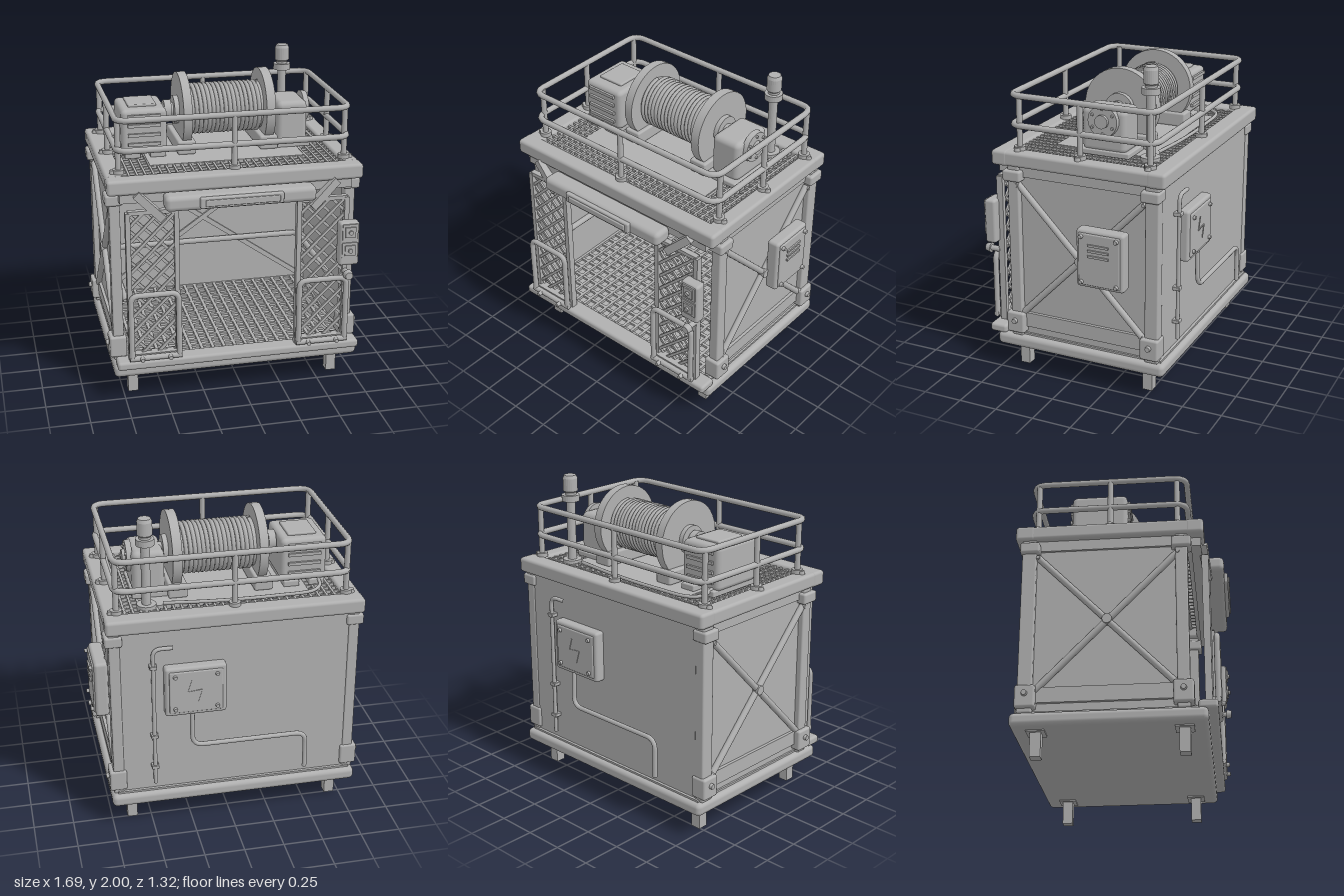
import * as THREE from 'three';
import { RoundedBoxGeometry } from 'three/addons/geometries/RoundedBoxGeometry.js';

const V = (x, y, z) => new THREE.Vector3(x, y, z);

export function createModel() {
  const root = new THREE.Group();
  root.name = 'winchCabin';
  const grey = new THREE.MeshStandardMaterial({ color: 0xb0b0b0 });
  grey.name = 'plain grey';
  const CX = -0.033, CZ = -0.05;

  const add = (name, geo) => {
    const m = new THREE.Mesh(geo, grey);
    m.name = name;
    root.add(m);
    return m;
  };
  // box given by its limits, rounded when r > 0
  const box = (name, x0, x1, y0, y1, z0, z1, r = 0) => {
    const s = [x1 - x0, y1 - y0, z1 - z0];
    const geo = r ? new RoundedBoxGeometry(...s, 2, Math.min(r, Math.min(...s) * 0.49)) : new THREE.BoxGeometry(...s);
    const m = add(name, geo);
    m.position.set((x0 + x1) / 2, (y0 + y1) / 2, (z0 + z1) / 2);
    return m;
  };
  // round rod or square bar between two points
  const rod = (name, a, b, r, r2 = r, seg = 16) => {
    const m = add(name, new THREE.CylinderGeometry(r2, r, a.distanceTo(b), seg));
    m.position.copy(a).lerp(b, 0.5);
    m.quaternion.setFromUnitVectors(V(0, 1, 0), b.clone().sub(a).normalize());
    return m;
  };
  const bar = (name, a, b, depth, width) => {
    const m = add(name, new THREE.BoxGeometry(depth, width, a.distanceTo(b)));
    m.position.copy(a).lerp(b, 0.5);
    m.lookAt(b);
    return m;
  };
  // tube through points with rounded bends
  const pipe = (name, pts, r, bend = 0.05, closed = false) => {
    const path = new THREE.CurvePath(), n = pts.length;
    const toward = (p, q) => p.clone().add(q.clone().sub(p).setLength(bend));
    let last = closed ? toward(pts[0], pts[1]) : pts[0];
    for (let i = 1; i < (closed ? n + 1 : n - 1); i++) {
      const p = pts[i % n], a = toward(p, pts[i - 1]), b = toward(p, pts[(i + 1) % n]);
      path.add(new THREE.LineCurve3(last, a));
      path.add(new THREE.QuadraticBezierCurve3(a, p, b));
      last = b;
    }
    if (!closed) path.add(new THREE.LineCurve3(last, pts[n - 1]));
    return add(name, new THREE.TubeGeometry(path, 160, r, 10, closed));
  };
  const bolt = (p, dir, r = 0.014, h = 0.016) => rod('bolt', p, p.clone().addScaledVector(dir, h), r, r * 0.8, 10);
  const X = V(1, 0, 0), Y = V(0, 1, 0), Z = V(0, 0, 1), BACK = V(0, 0, -1);

  // feet and base
  for (const x of [-0.687, 0.62]) for (const z of [0.38, -0.475]) {
    box('foot', x - 0.032, x + 0.032, 0, 0.17, z - 0.032, z + 0.032);
    box('footPlate', x - 0.055, x + 0.055, 0.147, 0.157, z - 0.055, z + 0.055);
  }
  box('baseSlab', -0.815, 0.755, 0.155, 0.238, -0.62, 0.52, 0.03);
  box('floorDeck', -0.78, 0.715, 0.23, 0.25, -0.59, 0.48);
  box('doorSill', -0.8, 0.748, 0.23, 0.285, 0.46, 0.575, 0.018);

  // gratings: crossed bars over a rectangle
  const grating = (name, x0, x1, z0, z1, y, step, w, h) => {
    const nx = Math.round((x1 - x0) / step), nz = Math.round((z1 - z0) / step);
    for (let i = 0; i <= nx; i++) {
      const x = x0 + (x1 - x0) * i / nx;
      box(name, x - w / 2, x + w / 2, y, y + h, z0, z1);
    }
    for (let i = 0; i <= nz; i++) {
      const z = z0 + (z1 - z0) * i / nz;
      box(name, x0, x1, y, y + h - 0.003, z - w / 2, z + w / 2);
    }
  };
  grating('floorGrating', -0.74, 0.68, -0.55, 0.45, 0.25, 0.072, 0.02, 0.018);
  grating('roofGrating', -0.72, 0.67, -0.51, 0.42, 1.415, 0.05, 0.014, 0.02);
  box('winchPlate', -0.52, 0.46, 1.428, 1.438, -0.42, 0.228);

  // roof frame with an open middle
  box('roofFrameFront', -0.825, 0.757, 1.355, 1.45, 0.41, 0.52, 0.02);
  box('roofFrameBack', -0.825, 0.757, 1.355, 1.45, -0.62, -0.5, 0.02);
  box('roofFrameSide', -0.823, -0.71, 1.357, 1.448, -0.6, 0.5, 0.02);
  box('roofFrameSide', 0.65, 0.755, 1.357, 1.448, -0.6, 0.5, 0.02);

  // walls, back bracing and inner handrail
  box('backWall', -0.77, 0.71, 0.235, 1.36, -0.572, -0.555);
  bar('backBrace', V(-0.71, 1.25, -0.548), V(0.64, 0.3, -0.548), 0.015, 0.032);
  bar('backBrace', V(0.64, 1.25, -0.543), V(-0.71, 0.3, -0.543), 0.015, 0.032);
  pipe('handrail', [V(-0.71, 0.61, 0.38), V(-0.71, 0.61, -0.52), V(0.645, 0.61, -0.52), V(0.645, 0.61, 0.38)], 0.02);

  // both sides: wall, posts, corner brackets, cross brace
  for (const s of [-1, 1]) {
    const at = d => CX + s * d, dir = V(s, 0, 0);
    const sx = (name, d0, d1, y0, y1, z0, z1, r) =>
      box(name, Math.min(at(d0), at(d1)), Math.max(at(d0), at(d1)), y0, y1, z0, z1, r);
    sx('sideWall', 0.715, 0.735, 0.235, 1.36, -0.568, 0.41);
    sx('sideRail', 0.73, 0.755, 0.3, 0.395, -0.5, 0.35);
    sx('sideRail', 0.73, 0.75, 1.29, 1.36, -0.5, 0.35);
    for (const [z0, z1] of [[0.345, 0.42], [-0.578, -0.49]]) {
      const zc = z0 > 0 ? 0.3825 : -0.5285;
      sx('cornerPost', 0.705, 0.772, 0.235, 1.36, z0, z1, 0.01);
      sx('lowerBracket', 0.69, 0.797, 0.262, 0.4, zc - 0.06, zc + 0.06, 0.014);
      sx('upperBracket', 0.69, 0.797, 1.265, 1.335, zc - 0.06, zc + 0.06, 0.014);
      bolt(V(at(0.79), 0.345, zc), dir, 0.02, 0.025);
    }
    rod('sideBrace', V(at(0.75), 0.37, 0.365), V(at(0.75), 1.25, -0.485), 0.02);
    rod('sideBrace', V(at(0.75), 1.25, 0.365), V(at(0.75), 0.37, -0.485), 0.02);
    rod('braceBoss', V(at(0.735), 0.81, -0.06), V(at(0.777), 0.81, -0.06), 0.03);
    for (const z of [0.36, -0.48]) for (const y of [0.39, 1.24]) bolt(V(at(0.765), y, z), dir, 0.014, 0.012);
  }

  // sliding mesh door panels with half gates
  for (const [x0, x1, s] of [[-0.71, -0.415, -1], [0.348, 0.65, 1]]) {
    const y0 = 0.31, y1 = 1.25, z = 0.52, inner = s < 0 ? x1 : x0, outer = s < 0 ? x0 : x1;
    box('doorInnerStile', inner - 0.015, inner + 0.015, 0.28, y1, z - 0.02, z + 0.022);
    box('doorOuterStile', outer - 0.015, outer + 0.015, 0.28, y1, z - 0.02, z + 0.022);
    box('doorBottomRail', x0, x1, 0.29, 0.33, z - 0.018, z + 0.04);
    box('doorTopRail', x0, x1, 1.235, 1.26, z - 0.018, z + 0.018);
    // wires at forty-five degrees, clipped to the panel
    for (const d of [-1, 1]) for (let c = y0 - 0.26; c < y1; c += 0.1) {
      const lo = Math.max(0, y0 - c), hi = Math.min(x1 - x0, y1 - c);
      if (hi - lo < 0.02) continue;
      const px = t => d > 0 ? x0 + t : x1 - t;
      bar('meshWire', V(px(lo), c + lo, z + d * 0.005), V(px(hi), c + hi, z + d * 0.005), 0.014, 0.018);
    }
    bar('doorStrut', V(CX + s * 0.62, 1.36, 0.51), V(CX + s * 0.46, 1.2, 0.53), 0.05, 0.05);
    pipe('halfGate', [V(x0, 0.3, 0.575), V(x0, 0.73, 0.575), V(x1, 0.73, 0.575), V(x1, 0.3, 0.575)], 0.018);
    rod('gateFoot', V(x0 - 0.015, 0.31, 0.575), V(x1 + 0.015, 0.31, 0.575), 0.018);
    for (const x of [x0 + 0.06, x1 - 0.06]) bolt(V(x, 0.31, 0.585), Z, 0.016, 0.03);
  }
  box('doorTrack', -0.75, 0.69, 1.3, 1.36, 0.44, 0.5);

  // header lamp
  box('headerLamp', -0.495, 0.43, 1.27, 1.365, 0.505, 0.63, 0.03);
  box('lampBezel', -0.29, 0.22, 1.285, 1.355, 0.62, 0.65, 0.01);
  box('lampLens', -0.26, 0.195, 1.3, 1.34, 0.645, 0.66, 0.006);

  // front control box
  box('controlBox', 0.59, 0.718, 0.82, 1.105, 0.53, 0.605, 0.018);
  for (const y of [0.925, 1.045]) {
    box('controlBezel', 0.606, 0.704, y - 0.05, y + 0.05, 0.6, 0.612);
    box('controlScreen', 0.622, 0.688, y - 0.033, y + 0.033, 0.61, 0.62);
    rod('controlKnob', V(0.655, y, 0.615), V(0.655, y, 0.632), 0.014);
  }
  rod('stopButtonStem', V(0.65, 0.76, 0.535), V(0.65, 0.76, 0.61), 0.018);
  rod('stopButton', V(0.65, 0.76, 0.6), V(0.65, 0.76, 0.635), 0.032, 0.024);

  // side service box with louvres
  box('serviceBox', 0.725, 0.81, 0.69, 1.06, -0.388, -0.075, 0.02);
  box('serviceBoxDoor', 0.8, 0.82, 0.71, 1.04, -0.365, -0.095, 0.008);
  for (const y of [0.9, 0.935, 0.97]) box('louvre', 0.815, 0.83, y - 0.007, y + 0.007, -0.295, -0.16);
  for (const y of [0.73, 1.02]) for (const z of [-0.345, -0.115]) bolt(V(0.818, y, z), X, 0.015, 0.02);

  // rear electrical box, conduit and drain pipe
  box('rearBox', 0.035, 0.415, 0.785, 1.115, -0.635, -0.56, 0.018);
  box('rearBoxDoor', 0.06, 0.39, 0.81, 1.09, -0.643, -0.625, 0.008);
  for (const x of [0.095, 0.355]) for (const y of [0.84, 1.06]) bolt(V(x, y, -0.64), BACK, 0.014, 0.018);
  const zig = [[0.25, 1.03], [0.275, 0.95], [0.185, 0.96], [0.21, 0.88]];
  for (let i = 0; i < 3; i++) bar('hazardMark', V(...zig[i], -0.643), V(...zig[i + 1], -0.643), 0.008, 0.008);
  pipe('rearConduit', [V(0.25, 0.8, -0.63), V(0.25, 0.57, -0.638), V(-0.47, 0.57, -0.638), V(-0.47, 0.32, -0.638)], 0.015, 0.07);
  pipe('drainPipe', [V(0.36, 1.24, -0.6), V(0.48, 1.24, -0.6), V(0.48, 0.3, -0.6)], 0.013);
  for (const y of [0.42, 0.64, 1.12]) box('pipeClip', 0.457, 0.503, y - 0.012, y + 0.012, -0.618, -0.565, 0.005);

  // guard rail on the roof
  const rx0 = -0.745, rx1 = 0.687, rz0 = -0.53, rz1 = 0.42;
  for (const y of [1.785, 1.6])
    pipe('guardRail', [V(rx0, y, rz0), V(rx1, y, rz0), V(rx1, y, rz1), V(rx0, y, rz1)], 0.019, 0.08, true);
  // each post stands on a flange bolted on the given outward side
  const posts = [[CX, rz0, 0], [CX, rz1, 0], [rx0, CZ, -1], [rx1, CZ, 1]];
  for (const z of [rz0 + 0.035, rz1 - 0.06]) posts.push([rx0 + 0.012, z, -1], [rx1 - 0.012, z, 1]);
  for (const [x, z, out] of posts) {
    rod('railPost', V(x, 1.44, z), V(x, 1.785, z), 0.018);
    rod('railFlange', V(x, 1.445, z), V(x, 1.473, z), 0.036);
    if (out) bolt(V(x + out * 0.035, 1.448, z), Y, 0.02, 0.022);
  }

  // winch drum with wound cable
  const wy = 1.68, wz = -0.135;
  const along = (name, x0, x1, r, r2) => rod(name, V(x0, wy, wz), V(x1, wy, wz), r, r2, 40);
  along('drumCore', -0.23, 0.26, 0.15);
  const turns = 17, pts = [];
  for (let i = 0; i <= turns * 20; i++) {
    const a = i / 20 * Math.PI * 2;
    pts.push(V(-0.212 + 0.454 * i / (turns * 20), wy + Math.cos(a) * 0.15, wz + Math.sin(a) * 0.15));
  }
  add('woundCable', new THREE.TubeGeometry(new THREE.CatmullRomCurve3(pts), turns * 32, 0.0145, 6));
  for (const [x0, x1] of [[-0.28, -0.225], [0.25, 0.308]]) {
    along('drumFlange', x0, x1, 0.238);
    along('drumHub', x0 - 0.03, x1 + 0.03, 0.09);
    box('drumPedestal', x0 - 0.035, x1 + 0.025, 1.437, 1.525, -0.345, 0.068, 0.012);
  }
  along('driveShaft', -0.4, 0.36, 0.045);
  along('shaftCollar', -0.37, -0.325, 0.065);

  // motor
  box('motor', -0.665, -0.375, 1.465, 1.74, -0.3, 0.045, 0.03);
  box('motorLid', -0.61, -0.43, 1.735, 1.755, -0.24, -0.03, 0.008);
  for (const y of [1.52, 1.58, 1.64, 1.7]) {
    box('motorFin', -0.625, -0.42, y - 0.01, y + 0.01, 0.035, 0.06);
    box('motorFin', -0.625, -0.42, y - 0.01, y + 0.01, -0.315, -0.29);
  }
  for (const x of [-0.6, -0.44]) box('motorFoot', x - 0.05, x + 0.05, 1.435, 1.475, -0.325, 0.07, 0.008);

  // gearbox with round end cover
  box('gearbox', 0.34, 0.54, 1.455, 1.725, -0.275, 0.015, 0.035);
  box('gearboxFoot', 0.33, 0.55, 1.435, 1.47, -0.3, 0.05, 0.008);
  rod('endCover', V(0.53, 1.655, wz), V(0.565, 1.655, wz), 0.1, 0.095, 32);
  rod('endCap', V(0.56, 1.655, wz), V(0.585, 1.655, wz), 0.042);
  for (let i = 0; i < 6; i++) {
    const a = i * Math.PI / 3 + 0.5;
    bolt(V(0.562, 1.655 + Math.sin(a) * 0.075, wz + Math.cos(a) * 0.075), X, 0.01, 0.014);
  }

  // beacon
  const lathe = [[0, 1.42], [0.06, 1.42], [0.06, 1.455], [0.028, 1.455], [0.028, 1.835], [0.056, 1.835],
    [0.056, 1.875], [0.036, 1.875], [0.036, 1.89], [0.046, 1.9], [0.046, 1.98], [0.038, 2], [0, 2]];
  const beacon = add('beacon', new THREE.LatheGeometry(lathe.map(p => new THREE.Vector2(...p)), 24).toNonIndexed());
  beacon.geometry.computeVertexNormals();
  beacon.position.set(0.48, 0, -0.41);

  // loose power cable on the roof
  add('powerCable', new THREE.TubeGeometry(new THREE.CatmullRomCurve3([V(-0.61, 1.48, -0.29), V(-0.61, 1.455, -0.36),
    V(-0.55, 1.45, -0.43), V(-0.3, 1.45, -0.455), V(0.05, 1.45, -0.45), V(0.38, 1.45, -0.415)]), 60, 0.011, 8));

  return root;
}
